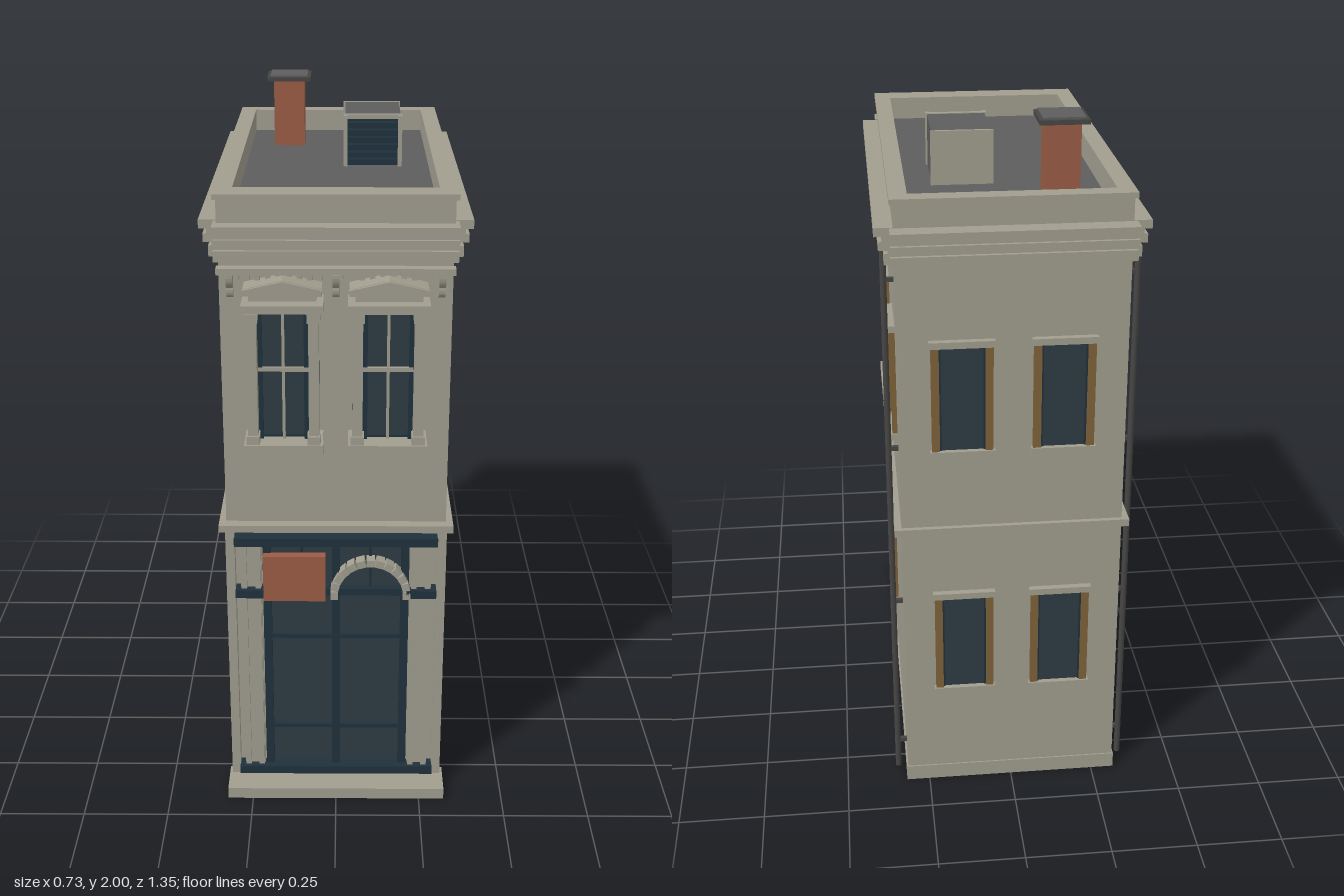
import * as THREE from 'three';

const mat = (name, color) => {
  const m = new THREE.MeshStandardMaterial({ color });
  m.name = name;
  return m;
};

export function createModel() {
  const stone = mat('stone', 0xa19e8f), roofGrey = mat('roof grey', 0x5d5d5e);
  const brick = mat('brick', 0x9a5c45), glass = mat('glass', 0x2e3b44);
  const teal = mat('dark teal', 0x20313c), wood = mat('wood', 0x806238);
  const iron = mat('iron', 0x474645);

  const root = new THREE.Group();
  root.name = 'townhouse';
  const group = (name, parent = root) => {
    const g = new THREE.Group();
    g.name = name;
    parent.add(g);
    return g;
  };
  const add = (parent, name, geo, m) => {
    const mesh = new THREE.Mesh(geo, m);
    mesh.name = name;
    parent.add(mesh);
    return mesh;
  };
  // box given by its limits
  const box = (p, name, m, x0, x1, y0, y1, z0, z1) => {
    const b = add(p, name, new THREE.BoxGeometry(x1 - x0, y1 - y0, z1 - z0), m);
    b.position.set((x0 + x1) / 2, (y0 + y1) / 2, (z0 + z1) / 2);
    return b;
  };

  const W = 0.315, F = 0.56, B = -0.62;

  // Main block
  box(root, 'walls', stone, -W, W, 0, 1.77, B, F);
  box(root, 'plinth', stone, -W - 0.004, W + 0.004, 0, 0.048, B - 0.004, F);
  box(root, 'frontStep', stone, -0.325, 0.325, 0, 0.035, F, 0.67);
  box(root, 'floorBand', stone, -0.335, 0.335, 0.86, 0.882, B - 0.014, 0.592);
  box(root, 'roof', roofGrey, -0.28, 0.28, 1.77, 1.777, -0.585, 0.52);

  // Parapet with coping
  const parapet = group('parapet');
  const ring = (name, o, y0, y1, zf, zb) => {
    for (const s of [-1, 1]) box(parapet, name, stone, s > 0 ? 0.275 : -o, s > 0 ? o : -0.275, y0, y1, zb, zf);
    box(parapet, name, stone, -0.275, 0.275, y0, y1, 0.515, zf);
    box(parapet, name, stone, -0.275, 0.275, y0, y1, zb, -0.58);
  };
  ring('parapetWall', 0.315, 1.765, 1.83, 0.585, -0.622);
  ring('coping', 0.324, 1.83, 1.845, 0.595, -0.63);

  // Stepped cornice, open at the corners
  const cornice = group('cornice');
  for (const [y0, y1, d] of [[1.665, 1.695, 0.026], [1.695, 1.704, 0.015], [1.704, 1.728, 0.04], [1.728, 1.742, 0.03], [1.742, 1.766, 0.051]]) {
    for (const s of [-1, 1])
      box(cornice, 'sideCornice', stone, s > 0 ? W : -W - d, s > 0 ? W + d : -W, y0, y1, B + 0.005, 0.55);
    box(cornice, 'frontCornice', stone, -0.325, 0.325, y0, y1, F, F + d + 0.02);
    box(cornice, 'backCornice', stone, -0.325, 0.325, y0, y1, B - d - 0.004, B);
  }

  // Frieze, dentils and scroll brackets on the front
  const frieze = group('frieze');
  box(frieze, 'friezeBand', stone, -0.32, 0.32, 1.625, 1.643, F, 0.592);
  for (let i = 0; i < 22; i++) {
    const x = -0.294 + i * 0.028;
    box(frieze, 'dentil', stone, x - 0.007, x + 0.007, 1.608, 1.625, F, 0.58);
  }
  for (const x of [-0.285, 0, 0.285]) {
    const s = new THREE.Shape();
    s.moveTo(0, 0);
    s.quadraticCurveTo(0.018, 0.005, 0.014, 0.03);
    s.quadraticCurveTo(0.035, 0.04, 0.034, 0.07);
    s.lineTo(0, 0.07);
    const b = add(frieze, 'bracket', new THREE.ExtrudeGeometry(s, { depth: 0.018, bevelEnabled: false, curveSegments: 6 }), stone);
    b.rotation.y = -Math.PI / 2;
    b.position.set(x + 0.009, 1.555, F);
  }

  // Projecting upper front windows
  for (const x of [-0.142, 0.142]) {
    const g = group('bayWindow');
    g.position.x = x;
    box(g, 'bayCore', stone, -0.092, 0.092, 1.165, 1.54, F, 0.598);
    box(g, 'bayFrame', teal, -0.097, 0.097, 1.165, 1.54, 0.598, 0.608);
    box(g, 'bayGlass', glass, -0.07, 0.07, 1.175, 1.535, 0.608, 0.614);
    for (const s of [-1, 1]) {
      box(g, 'bayPost', stone, s * 0.083 - 0.014, s * 0.083 + 0.014, 1.165, 1.54, 0.614, 0.66);
      box(g, 'bayPostBase', stone, s * 0.083 - 0.018, s * 0.083 + 0.018, 1.165, 1.19, 0.612, 0.667);
      box(g, 'bayPostCap', stone, s * 0.083 - 0.018, s * 0.083 + 0.018, 1.515, 1.54, 0.612, 0.667);
      box(g, 'sashStile', teal, s * 0.062 - 0.006, s * 0.062 + 0.006, 1.165, 1.54, 0.61, 0.622);
    }
    box(g, 'glazingBar', stone, -0.004, 0.004, 1.165, 1.54, 0.61, 0.62);
    box(g, 'meetingRail', stone, -0.068, 0.068, 1.364, 1.376, 0.61, 0.624);
    box(g, 'baySill', stone, -0.108, 0.108, 1.14, 1.166, F, 0.672);
    box(g, 'bayHead', stone, -0.109, 0.109, 1.54, 1.563, F, 0.665);
    box(g, 'bayHeadBlock', stone, -0.09, 0.09, 1.563, 1.582, F, 0.625);
    const t = new THREE.Shape();
    t.moveTo(-0.105, 1.578);
    t.lineTo(0.105, 1.578);
    t.lineTo(0.105, 1.598);
    t.lineTo(0, 1.622);
    t.lineTo(-0.105, 1.598);
    add(g, 'pediment', new THREE.ExtrudeGeometry(t, { depth: 0.07, bevelEnabled: false }), stone).position.z = F;
    for (const s of [-1, 1]) {
      const r = add(g, 'pedimentRake', new THREE.BoxGeometry(0.11, 0.008, 0.014), stone);
      r.position.set(s * 0.052, 1.605, 0.632);
      r.rotation.z = -s * 0.225;
    }
  }

  // Plain sash windows, built facing +z
  const sash = (x, y0, z, turn, rail) => {
    const g = group('sashWindow');
    g.position.set(x, y0, z);
    g.rotation.y = turn;
    const h = 0.345;
    box(g, 'pane', glass, -0.066, 0.066, 0.018, h - 0.018, 0, 0.004);
    for (const s of [-1, 1]) {
      box(g, 'jamb', wood, s * 0.074 - 0.011, s * 0.074 + 0.011, 0.018, h - 0.018, 0, 0.014);
      box(g, 'sashEdge', teal, s * 0.061 - 0.003, s * 0.061 + 0.003, 0.018, h - 0.018, 0, 0.008);
    }
    if (rail) box(g, 'rail', wood, -0.063, 0.063, h / 2 - 0.005, h / 2 + 0.005, 0, 0.008);
    box(g, 'sill', stone, -0.09, 0.09, 0, 0.019, 0, 0.019);
    box(g, 'lintel', stone, -0.09, 0.09, h - 0.019, h, 0, 0.019);
  };
  for (const s of [-1, 1]) {
    for (const [z, y] of [[-0.03, 1.11], [-0.43, 1.11], [-0.03, 0.318]]) sash(s * W, y, z, s * Math.PI / 2, true);
    for (const y of [1.105, 0.322]) sash(s * 0.14, y, B, Math.PI, false);
    // Drainpipe
    const p = add(root, 'drainpipe', new THREE.CylinderGeometry(0.009, 0.009, 1.69, 10), iron);
    p.position.set(s * 0.343, 0.855, -0.56);
    for (const y of [0.1, 0.6, 1.1, 1.6])
      box(root, 'pipeClip', iron, s * 0.328 - 0.014, s * 0.328 + 0.014, y, y + 0.012, -0.566, -0.554);
  }

  // Shopfront
  const shop = group('shopfront');
  box(shop, 'shopGlass', glass, -0.212, 0.212, 0.05, 0.83, F, 0.566);
  box(shop, 'topRail', teal, -0.292, 0.292, 0.82, 0.845, F, 0.602);
  box(shop, 'bottomRail', teal, -0.292, 0.292, 0.04, 0.066, F, 0.602);
  box(shop, 'transom', teal, -0.212, 0.212, 0.655, 0.677, F, 0.59);
  for (const y of [0.196, 0.51]) box(shop, 'crossBar', teal, -0.205, 0.205, y - 0.006, y + 0.006, F, 0.576);
  for (const x of [-0.2, 0, 0.2]) box(shop, 'mullion', teal, x - 0.012, x + 0.012, 0.05, 0.83, F, 0.582);
  for (const x of [-0.1, 0.1]) box(shop, 'upperBar', teal, x - 0.004, x + 0.004, 0.677, 0.82, F, 0.574);
  for (const s of [-1, 1]) {
    box(shop, 'cornerPilaster', stone, s * 0.304 - 0.013, s * 0.304 + 0.013, 0.035, 0.86, F, 0.59);
    box(shop, 'pilaster', stone, s * 0.246 - 0.03, s * 0.246 + 0.03, 0.035, 0.83, F, 0.578);
    for (const o of [-0.02, 0.02])
      box(shop, 'pilasterRib', stone, s * 0.246 + o - 0.008, s * 0.246 + o + 0.008, 0.066, 0.82, F, 0.59);
    box(shop, 'pilasterBand', teal, s * 0.248 - 0.043, s * 0.248 + 0.043, 0.652, 0.677, F, 0.602);
  }
  box(shop, 'signBoard', brick, -0.21, -0.03, 0.645, 0.79, 0.58, 0.606);

  // Arch of separate stones
  const N = 13;
  for (let i = 0; i < N; i++) {
    const a = Math.PI * i / (N - 1);
    const v = add(shop, 'archStone', new THREE.BoxGeometry(0.022, 0.0245, 0.036), stone);
    v.position.set(0.1 + 0.105 * Math.cos(a), 0.66 + 0.105 * Math.sin(a), 0.584);
    v.rotation.z = a;
  }

  // Chimney
  const chimney = group('chimney');
  box(chimney, 'stack', brick, -0.202, -0.106, 1.77, 1.982, -0.432, -0.336);
  box(chimney, 'chimneyCap', iron, -0.222, -0.086, 1.982, 1.995, -0.452, -0.316);
  box(chimney, 'capTop', roofGrey, -0.212, -0.096, 1.995, 2, -0.442, -0.326);

  // Rooftop cooling unit
  const unit = group('coolingUnit');
  box(unit, 'unitBody', roofGrey, 0.024, 0.19, 1.775, 1.928, -0.265, -0.065);
  box(unit, 'unitBack', stone, 0.018, 0.194, 1.775, 1.93, -0.275, -0.265);
  for (const s of [-1, 1]) box(unit, 'frameSide', stone, 0.106 + s * 0.082 - 0.006, 0.106 + s * 0.082 + 0.006, 1.775, 1.928, -0.065, -0.035);
  box(unit, 'frameTop', stone, 0.018, 0.194, 1.916, 1.93, -0.068, -0.052);
  box(unit, 'grille', teal, 0.03, 0.182, 1.777, 1.916, -0.065, -0.055);
  for (let i = 0; i < 6; i++) {
    const y = 1.79 + i * 0.022;
    box(unit, 'louvre', teal, 0.032, 0.18, y, y + 0.009, -0.055, -0.028);
  }
  return root;
}
